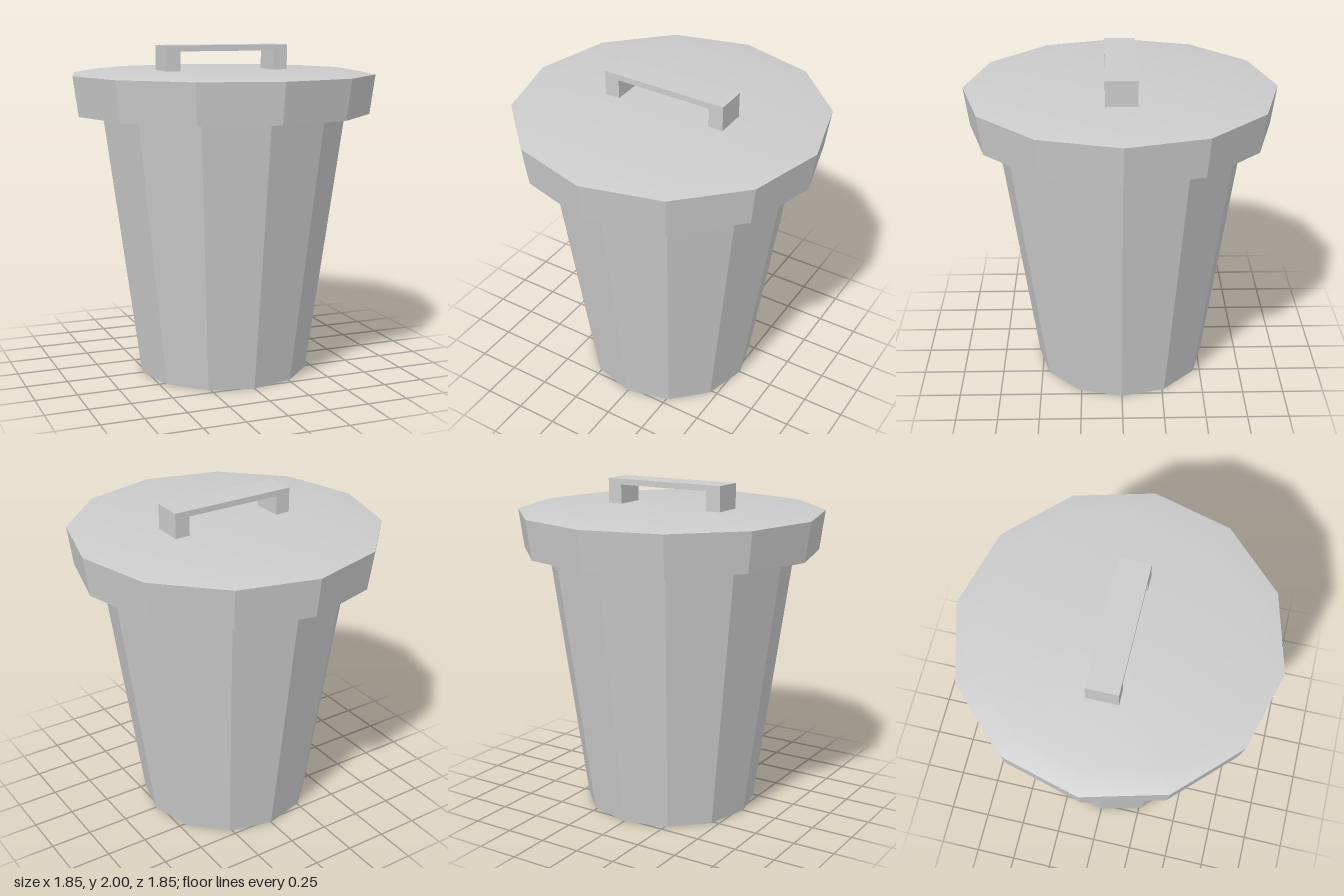
import * as THREE from 'three';
import { toCreasedNormals } from 'three/addons/utils/BufferGeometryUtils.js';

const SIDES = 12;
const material = new THREE.MeshStandardMaterial({ color: 0xcccccc });

function addMesh(group, name, geometry) {
  const mesh = new THREE.Mesh(geometry, material);
  mesh.name = name;
  group.add(mesh);
  return mesh;
}

// Faceted solid of revolution: crisp sides, smooth shallow slopes
function turned(profile) {
  const points = profile.map(([r, y]) => new THREE.Vector2(r, y));
  return toCreasedNormals(new THREE.LatheGeometry(points, SIDES), 0.4);
}

export function createModel() {
  const group = new THREE.Group();
  group.name = 'trashCan';

  // Tapered bin with a closed floor, ending inside the lid
  addMesh(group, 'body', turned([[0, 0], [0.528, 0], [0.753, 1.637]]));

  // Lid: sloping underside, flared rim, slightly bevelled top
  addMesh(group, 'lid', turned([
    [0.752, 1.635], [0.893, 1.593], [0.924, 1.828], [0.8, 1.85], [0, 1.85],
  ]));

  // Square-cut bridge handle
  const outline = [
    [-0.39, 1.85], [-0.298, 1.85], [-0.298, 1.965], [0.298, 1.965],
    [0.298, 1.85], [0.39, 1.85], [0.39, 2], [-0.39, 2],
  ];
  const shape = new THREE.Shape(outline.map(([x, y]) => new THREE.Vector2(x, y)));
  const handle = new THREE.ExtrudeGeometry(shape, { depth: 0.186, bevelEnabled: false });
  handle.translate(0, 0, -0.093);
  addMesh(group, 'handle', handle);

  return group;
}
